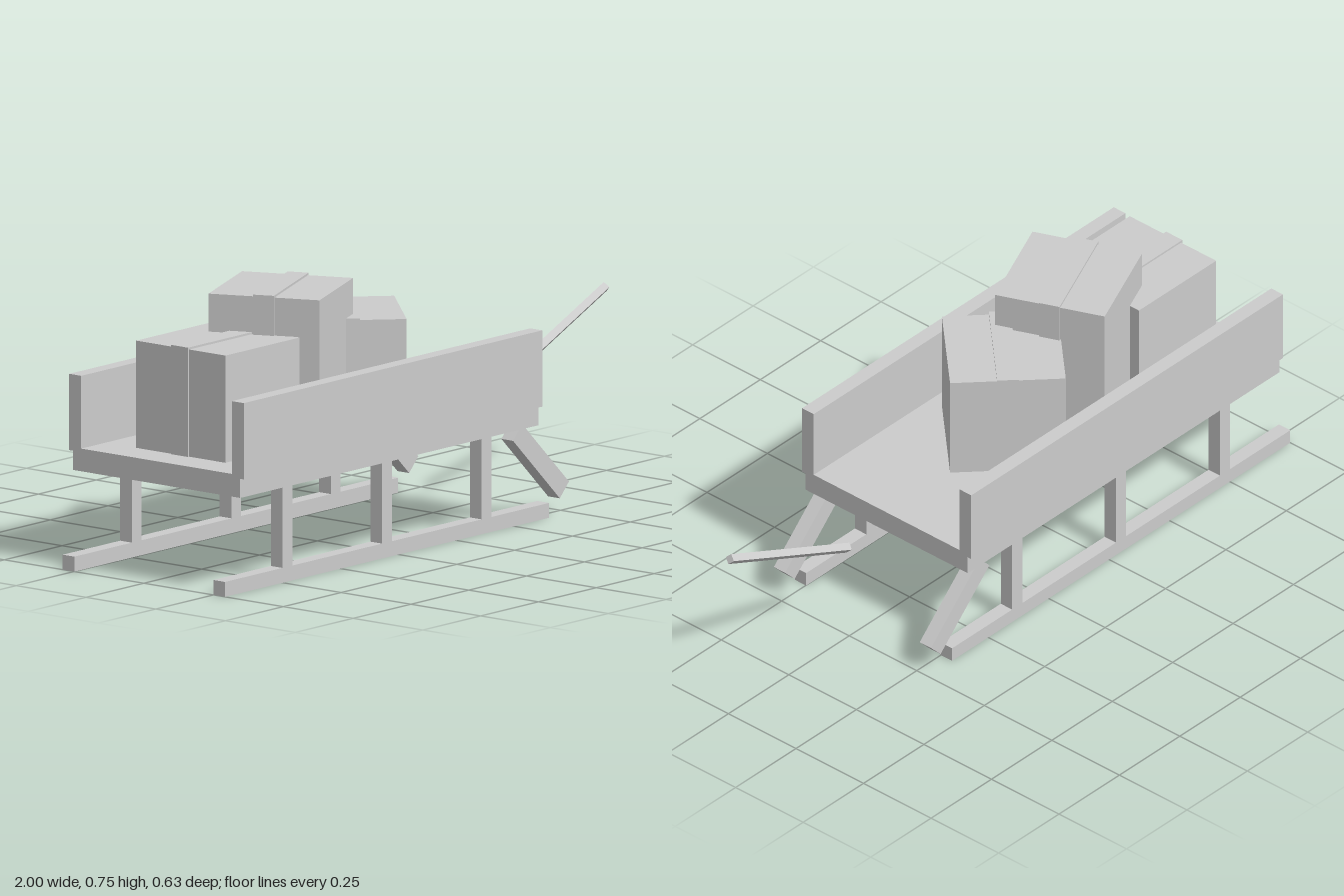
import * as THREE from 'three';

export function createModel() {
  const root = new THREE.Group();
  root.name = 'cargoSled';
  const grey = new THREE.MeshStandardMaterial({ color: 0xcccccc, flatShading: true });
  grey.name = 'plain grey';

  // Box given by its size and centre
  function block(name, size, pos, parent = root) {
    const mesh = new THREE.Mesh(new THREE.BoxGeometry(...size), grey);
    mesh.name = name;
    mesh.position.set(...pos);
    parent.add(mesh);
    return mesh;
  }

  // Bed
  block('bed', [1.29, 0.064, 0.6], [-0.3, 0.303, 0]);

  // Both sides: wall, runner, posts and slanted strut
  for (const [side, s] of [['left', 1], ['right', -1]]) {
    block(side + 'Wall', [1.29, 0.215, 0.043], [-0.3, 0.4325, s * 0.2915]);
    block(side + 'Runner', [1.4, 0.042, 0.042], [-0.3, 0.021, s * 0.27]);
    for (const x of [-0.73, -0.3, 0.13]) {
      block(side + 'Post', [0.042, 0.24, 0.042], [x, 0.16, s * 0.27]);
    }
    const strut = block(side + 'Strut', [0.28, 0.057, 0.042], [0.366, 0.165, s * 0.27]);
    strut.rotation.z = -0.765;
  }

  // Tow bar with a diamond section
  const bar = new THREE.Mesh(new THREE.CylinderGeometry(0.015, 0.015, 0.535, 4), grey);
  bar.name = 'towBar';
  bar.position.set(0.75, 0.41, 0);
  bar.rotation.z = -Math.PI / 2 + 0.42;
  root.add(bar);

  // Strapped crates: x, height, turn
  const crates = [[-0.68, 0.302, 0], [-0.408, 0.409, 0.4], [-0.14, 0.302, 0.8]];
  for (const [x, h, turn] of crates) {
    const crate = new THREE.Group();
    crate.name = 'strappedCrate';
    crate.position.set(x, 0.335, 0);
    crate.rotation.y = turn;
    block('crate', [0.32, h, 0.32], [0, h / 2, 0], crate);
    block('strap', [0.331, h + 0.006, 0.06], [0, (h + 0.006) / 2, 0], crate);
    root.add(crate);
  }

  return root;
}
